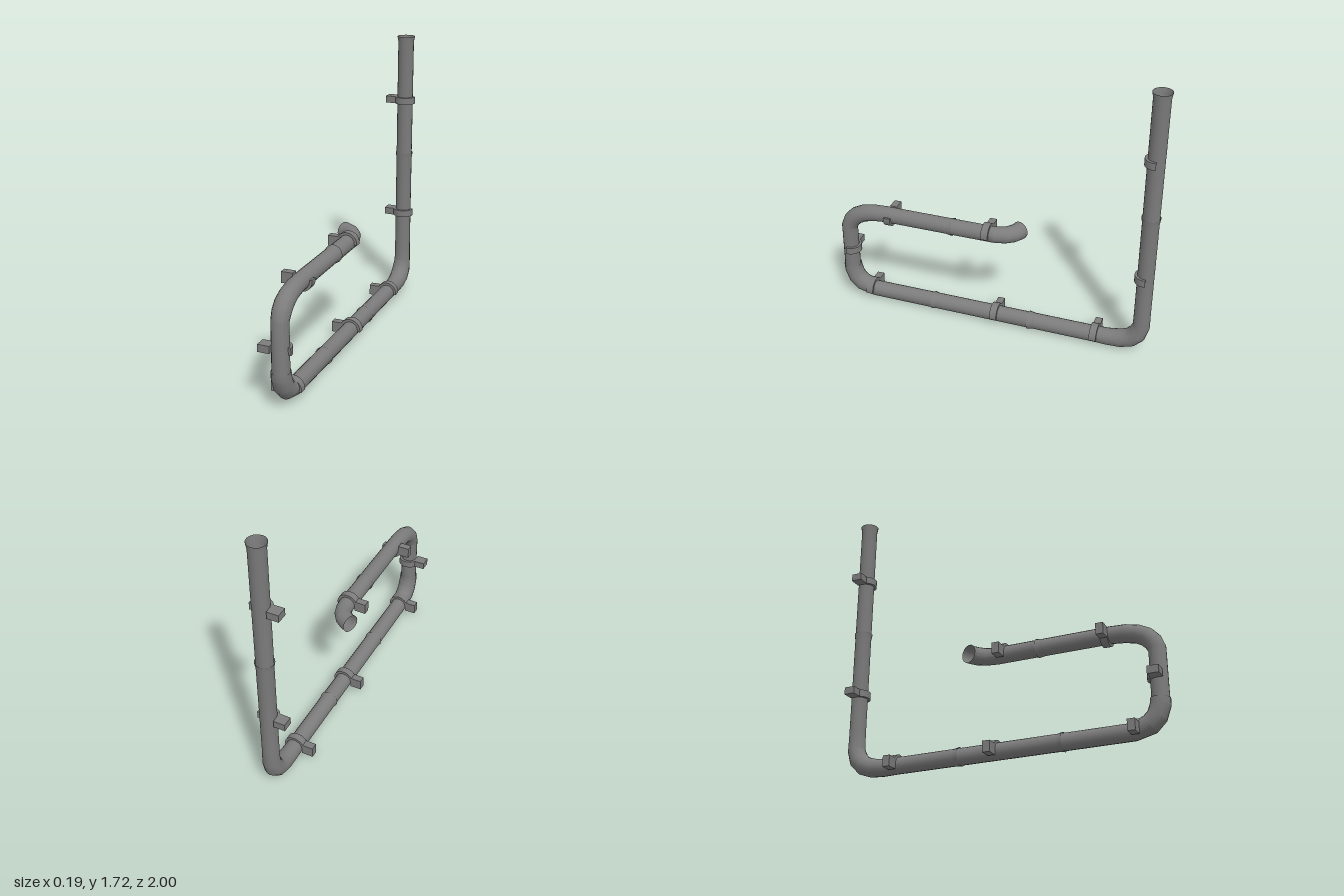
import * as THREE from 'three';
import { toCreasedNormals } from 'three/addons/utils/BufferGeometryUtils.js';

const PIPE_X = 0.025, R = 0.05, BELL = 0.056, BEND = 0.058, SIDES = 16;

// Open tube through points [x, y, z, radius]; side is the normal of the plane the path lies in
function sweep(points, side) {
  const at = (i) => new THREE.Vector3().fromArray(points[i]);
  const pos = [], index = [], last = points.length - 1;
  points.forEach((p, i) => {
    const before = at(i).sub(at(Math.max(i - 1, 0))).normalize();
    const after = at(Math.min(i + 1, last)).sub(at(i)).normalize();
    const normal = before.add(after).normalize().cross(side);
    for (let j = 0; j < SIDES; j++) {
      const a = (j / SIDES) * Math.PI * 2;
      const v = at(i).addScaledVector(side, p[3] * Math.cos(a)).addScaledVector(normal, p[3] * Math.sin(a));
      pos.push(v.x, v.y, v.z);
      if (i < last) {
        const k = (j + 1) % SIDES, b = i * SIDES, c = b + SIDES;
        index.push(b + j, b + k, c + j, b + k, c + k, c + j);
      }
    }
  });
  const geo = new THREE.BufferGeometry();
  geo.setAttribute('position', new THREE.Float32BufferAttribute(pos, 3));
  geo.setIndex(index);
  return toCreasedNormals(geo, 0.45);
}

export function createModel() {
  const model = new THREE.Group();
  model.name = 'pipework';
  const grey = new THREE.MeshStandardMaterial({ color: 0x7c7c7c, side: THREE.DoubleSide });
  grey.name = 'grey metal';

  const X = new THREE.Vector3(1, 0, 0), Y = new THREE.Vector3(0, 1, 0);
  const pipe = (name, points, side = X) => {
    const mesh = new THREE.Mesh(sweep(points, side), grey);
    mesh.name = name;
    model.add(mesh);
  };
  // Pipe run in the upright plane, points given as [z, y, radius]
  const run = (name, points) => pipe(name, points.map(([z, y, r = R]) => [PIPE_X, y, z, r]));

  // Pipe lengths, each with a flared socket at one end
  run('upperDownpipe', [[-0.94, 0.92], [-0.94, 1.685], [-0.94, 1.72, BELL]]);
  run('lowerDownpipeAndBend', [
    [-0.94, 0.95, BELL], [-0.94, 0.915], [-0.94, 0.3], [-0.94, 0.19, 0.052],
    [-0.918, 0.128, BEND], [-0.88, 0.09, BEND], [-0.82, 0.068, 0.056],
    [-0.74, 0.06, 0.052], [-0.66, 0.06], [-0.275, 0.06], [-0.24, 0.06, BELL]]);
  run('middlePipe', [[-0.28, 0.06], [0.36, 0.06], [0.39, 0.06, BELL]]);
  run('frontBottomBend', [
    [0.35, 0.06], [0.79, 0.06], [0.88, 0.09, BEND], [0.92, 0.13, BEND],
    [0.942, 0.19, 0.057], [0.944, 0.225, BELL]]);
  run('frontTopBend', [
    [0.945, 0.19], [0.945, 0.23], [0.945, 0.51], [0.925, 0.555, 0.053], [0.89, 0.592, 0.054],
    [0.84, 0.618, 0.053], [0.77, 0.634, 0.052], [0.69, 0.64], [0.28, 0.64], [0.245, 0.64, BELL]]);
  run('endPipe', [[0.29, 0.64], [-0.02, 0.64]]);
  pipe('outletElbow', [
    [PIPE_X, 0.64, 0, R], [0.021, 0.64, -0.04, R], [0.008, 0.64, -0.08, 0.051],
    [-0.018, 0.64, -0.115, 0.053], [-0.05, 0.64, -0.138, 0.053], [-0.075, 0.64, -0.148, 0.055]], Y);

  // Wall brackets: a half-round strap and a block towards the wall
  const strapShape = new THREE.Shape();
  strapShape.absarc(0, 0, 0.065, -0.15, Math.PI + 0.15, false);
  strapShape.absarc(0, 0, 0.046, Math.PI + 0.15, -0.15, true);
  const strapGeo = toCreasedNormals(new THREE.ExtrudeGeometry(strapShape,
    { depth: 0.044, bevelEnabled: false, curveSegments: 10 }).translate(0, 0, -0.022), 0.45);
  const blockGeo = new THREE.BoxGeometry(0.07, 0.066, 0.044).translate(-0.085, 0, 0);
  const turn = Math.PI / 2;
  // [z, y, rotation about x]
  const brackets = [
    [-0.94, 1.305, turn], [-0.94, 0.537, turn], [-0.66, 0.06, 0], [-0.025, 0.06, 0],
    [0.81, 0.063, 0], [0.945, 0.35, -turn], [0.66, 0.64, Math.PI], [0.03, 0.64, 0]];
  for (const [z, y, rotation] of brackets) {
    const bracket = new THREE.Group();
    bracket.name = 'wallBracket';
    const strap = new THREE.Mesh(strapGeo, grey), block = new THREE.Mesh(blockGeo, grey);
    strap.name = 'strap';
    block.name = 'block';
    bracket.add(strap, block);
    bracket.position.set(PIPE_X, y, z);
    bracket.rotation.x = rotation;
    model.add(bracket);
  }
  return model;
}
